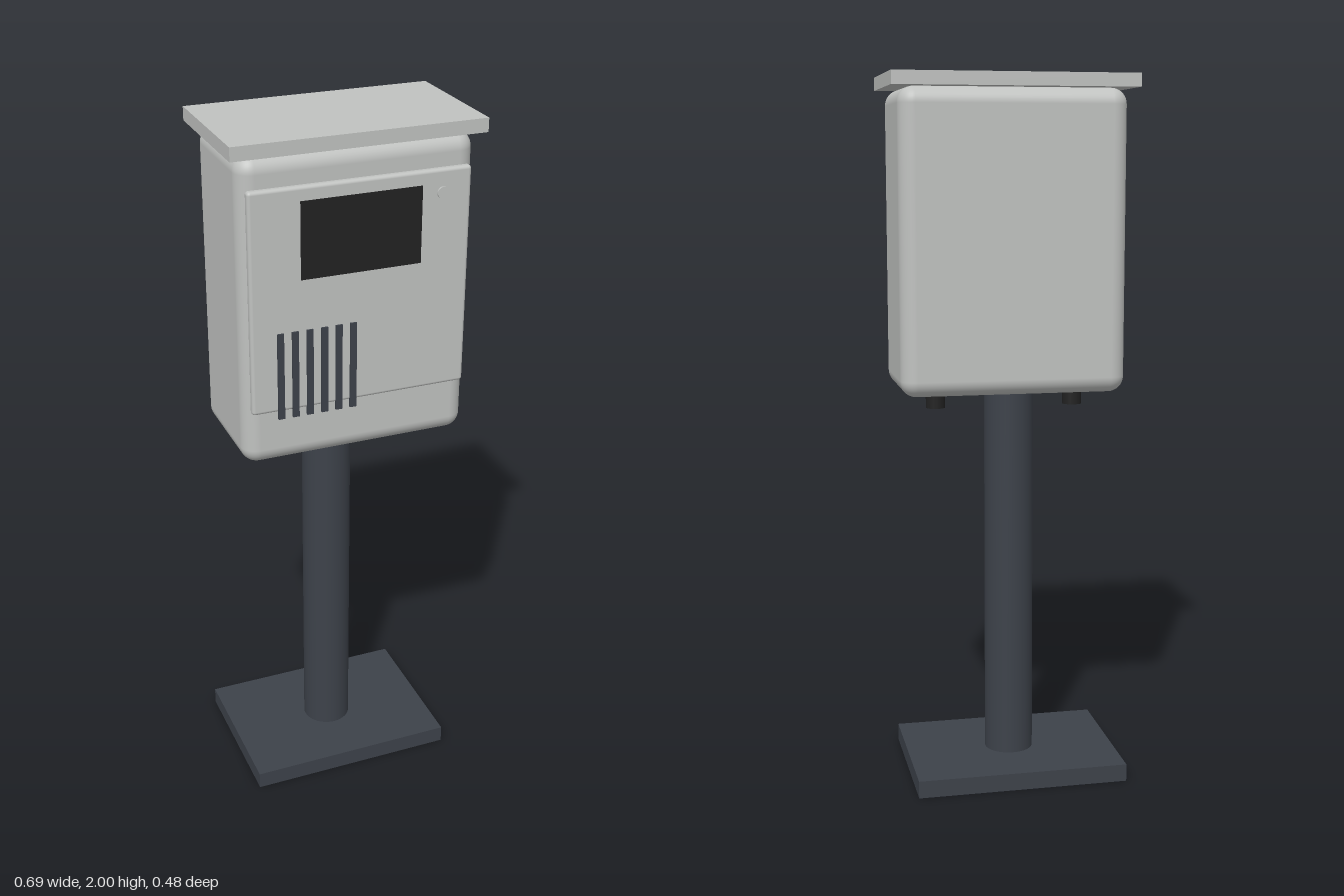
import * as THREE from 'three';
import { RoundedBoxGeometry } from 'three/addons/geometries/RoundedBoxGeometry.js';

function material(name, color) {
  const m = new THREE.MeshStandardMaterial({ color });
  m.name = name;
  return m;
}

export function createModel() {
  const model = new THREE.Group();
  model.name = 'pedestalCabinet';

  const lightGrey = material('light grey', 0xc0c2c0);
  const slate = material('slate', 0x3d424a);
  const black = material('black', 0x222222);

  const add = (name, geometry, mat, x, y, z) => {
    const mesh = new THREE.Mesh(geometry, mat);
    mesh.name = name;
    mesh.position.set(x, y, z);
    model.add(mesh);
    return mesh;
  };
  // Box given by its lower and upper corners
  const addBox = (name, mat, [x0, y0, z0], [x1, y1, z1], radius = 0) => {
    const size = [x1 - x0, y1 - y0, z1 - z0];
    const geometry = radius
      ? new RoundedBoxGeometry(...size, 5, radius)
      : new THREE.BoxGeometry(...size);
    return add(name, geometry, mat, (x0 + x1) / 2, (y0 + y1) / 2, (z0 + z1) / 2);
  };

  // Stand
  addBox('basePlate', slate, [-0.302, 0, -0.24], [0.302, 0.05, 0.205]);
  add('post', new THREE.CylinderGeometry(0.07, 0.07, 1.09, 40), slate, 0, 0.585, -0.017);

  // Cabinet
  addBox('cabinet', lightGrey, [-0.32, 1.117, -0.125], [0.32, 1.963, 0.217], 0.045);
  addBox('roof', lightGrey, [-0.343, 1.963, -0.15], [0.343, 2, 0.233]);
  addBox('door', lightGrey, [-0.302, 1.277, 0.209], [0.302, 1.882, 0.233], 0.009);

  // Door details
  addBox('screen', black, [-0.165, 1.638, 0.229], [0.165, 1.845, 0.235]);
  for (let i = 0; i < 6; i++) {
    const x = -0.223 + i * 0.0403;
    addBox('ventSlat', slate, [x - 0.009, 1.257, 0.23], [x + 0.009, 1.5, 0.238]);
  }
  const lock = add('lock', new THREE.CylinderGeometry(0.016, 0.016, 0.012, 24), lightGrey, 0.222, 1.82, 0.232);
  lock.rotation.x = Math.PI / 2;

  // Cable glands under the cabinet
  for (const side of [-1, 1]) {
    add('cableGland', new THREE.CylinderGeometry(0.028, 0.028, 0.065, 16), black, side * 0.202, 1.0975, 0.045);
  }

  return model;
}
